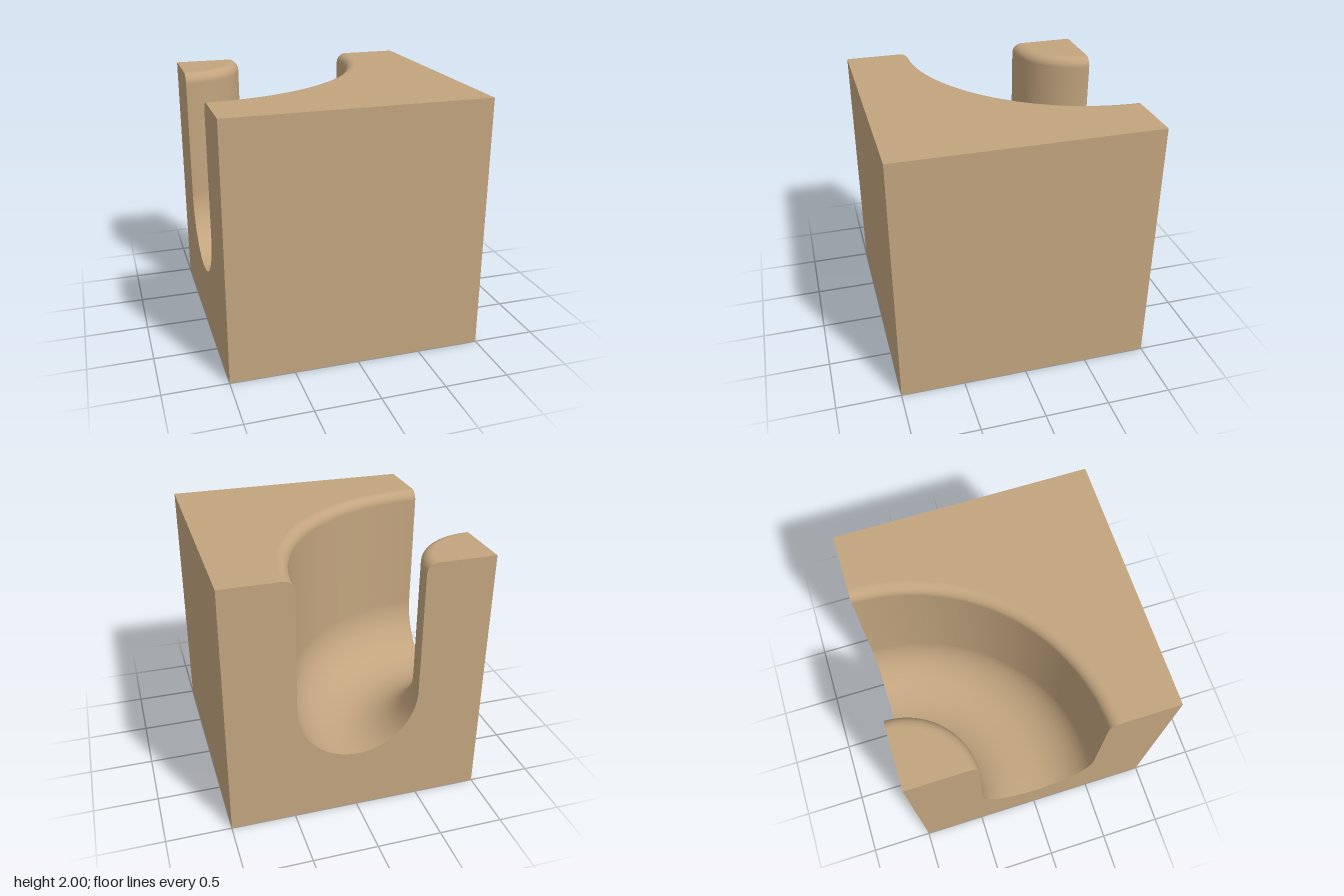
import * as THREE from 'three';

const SIZE = 2;        // block edge
const RING = 1;        // groove centreline radius, measured from the back corner
const HALF = 0.47;     // groove half width
const FLOOR_Y = 0.96;  // centre height of the round groove bottom
const LIP = 0.08;      // rounding of the groove's top edges
const ARC_STEPS = 64;

const arc = (cx, cy, r, from, to, steps) =>
  Array.from({ length: steps + 1 }, (_, i) => {
    const a = from + (to - from) * i / steps;
    return new THREE.Vector2(cx + r * Math.cos(a), cy + r * Math.sin(a));
  });

export function createModel() {
  const group = new THREE.Group();
  group.name = 'groovedCornerBlock';
  const tan = new THREE.MeshStandardMaterial({ color: 0xc2a47e });
  tan.name = 'tan';

  const add = (name, geometry, x, y, z) => {
    const mesh = new THREE.Mesh(geometry, tan);
    mesh.name = name;
    mesh.position.set(x, y, z);
    group.add(mesh);
  };
  const flat = (points) => new THREE.ShapeGeometry(new THREE.Shape(points));
  const v = (x, y) => new THREE.Vector2(x, y);
  const PI = Math.PI;

  // Groove section: outer lip, down the wall, round bottom, up the post, inner lip
  const profile = [
    ...arc(RING + HALF + LIP, SIZE - LIP, LIP, PI / 2, PI, 8),
    ...arc(RING, FLOOR_Y, HALF, 0, -PI, 40),
    ...arc(RING - HALF - LIP, SIZE - LIP, LIP, 0, PI / 2, 8),
  ];
  add('groove', new THREE.LatheGeometry(profile, ARC_STEPS, 0, PI / 2), -1, 0, -1);

  // Two cut faces showing the groove section
  const section = [v(0, 0), v(SIZE, 0), v(SIZE, SIZE), ...profile, v(0, SIZE)];
  add('rightCutFace', flat(section).rotateY(-PI / 2), -1, 0, -1);
  add('backCutFace', flat(section.map((p) => v(-p.x, p.y))).rotateY(PI), -1, 0, -1);

  // Top faces either side of the groove
  const outer = arc(0, 0, RING + HALF + LIP, -PI / 2, 0, ARC_STEPS);
  const inner = arc(0, 0, RING - HALF - LIP, -PI / 2, 0, ARC_STEPS);
  add('outerTop', flat([...outer, v(SIZE, 0), v(SIZE, -SIZE), v(0, -SIZE)]).rotateX(-PI / 2), -1, SIZE, -1);
  add('postTop', flat([v(0, 0), ...inner]).rotateX(-PI / 2), -1, SIZE, -1);

  // Plain faces
  const plane = () => new THREE.PlaneGeometry(SIZE, SIZE);
  add('frontFace', plane(), 0, 1, 1);
  add('leftFace', plane().rotateY(PI / 2), 1, 1, 0);
  add('bottomFace', plane().rotateX(PI / 2), 0, 0, 0);

  return group;
}
